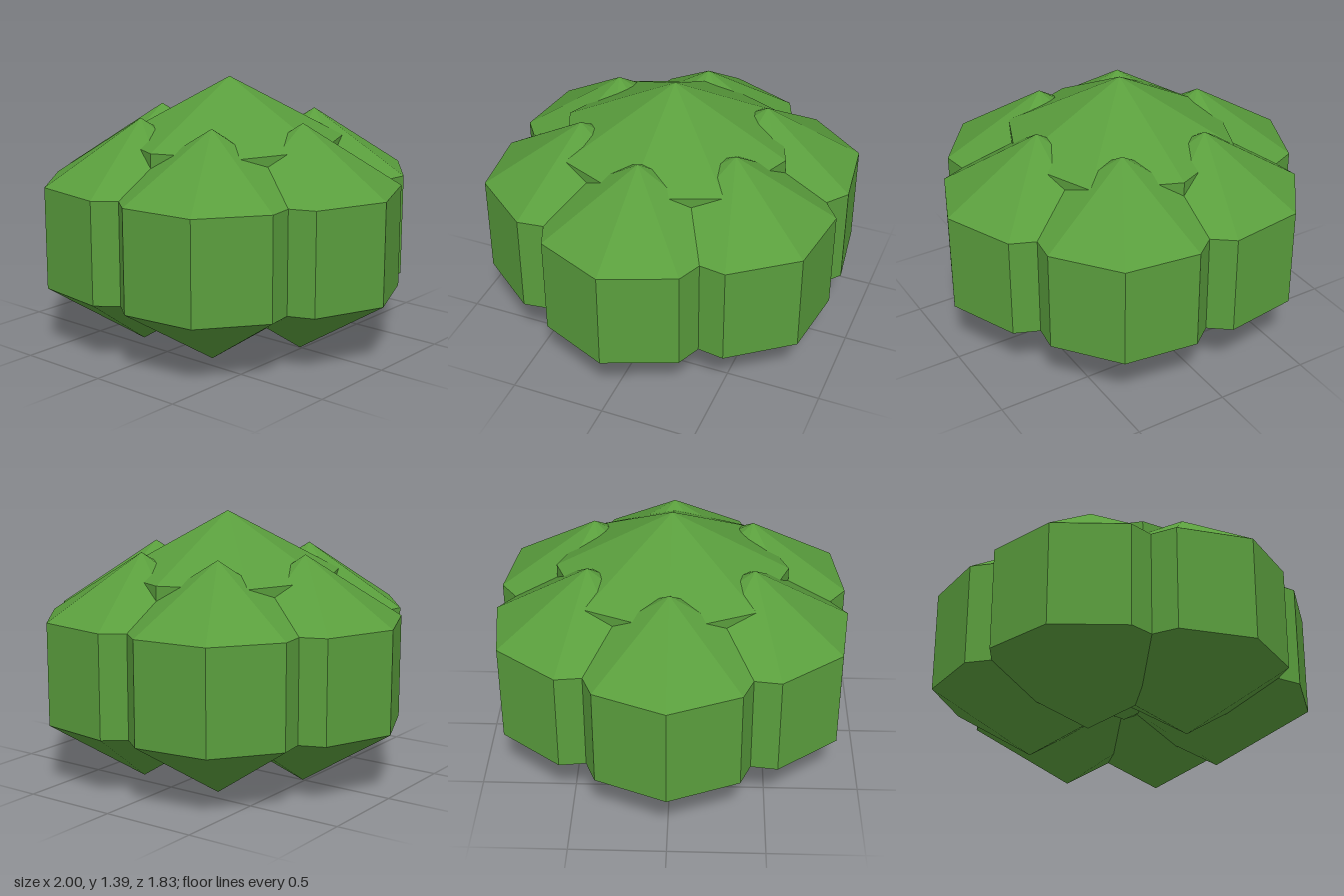
import * as THREE from 'three';

const SIDES = 8;
const LOBES = 6;
const RING = 0.486; // distance of the outer lobes from the middle

// Faceted puff: straight band between two pointed caps, centred on its own origin
function puffGeometry(radius, bandHalf, halfHeight) {
  const profile = [
    [0, -halfHeight], [radius, -bandHalf], [radius, bandHalf], [0, halfHeight],
  ].map(([r, y]) => new THREE.Vector2(r, y));
  return new THREE.LatheGeometry(profile, SIDES);
}

export function createModel() {
  const model = new THREE.Group();
  model.name = 'bush';
  const leaf = new THREE.MeshStandardMaterial({ color: 0x5a9e3d, flatShading: true });

  // Raised middle puff
  const crown = new THREE.Mesh(puffGeometry(0.605, 0.261, 0.583), leaf);
  crown.name = 'centreFoliage';
  crown.position.y = 0.807;
  model.add(crown);

  // Ring of lower puffs, each with one corner pointing outward
  const lobeGeometry = puffGeometry(0.514, 0.268, 0.598);
  for (let i = 0; i < LOBES; i++) {
    const angle = (i / LOBES) * Math.PI * 2;
    const lobe = new THREE.Mesh(lobeGeometry, leaf);
    lobe.name = `outerFoliage${i + 1}`;
    lobe.position.set(Math.cos(angle) * RING, 0.598, Math.sin(angle) * RING);
    lobe.rotation.y = -angle;
    model.add(lobe);
  }
  return model;
}
